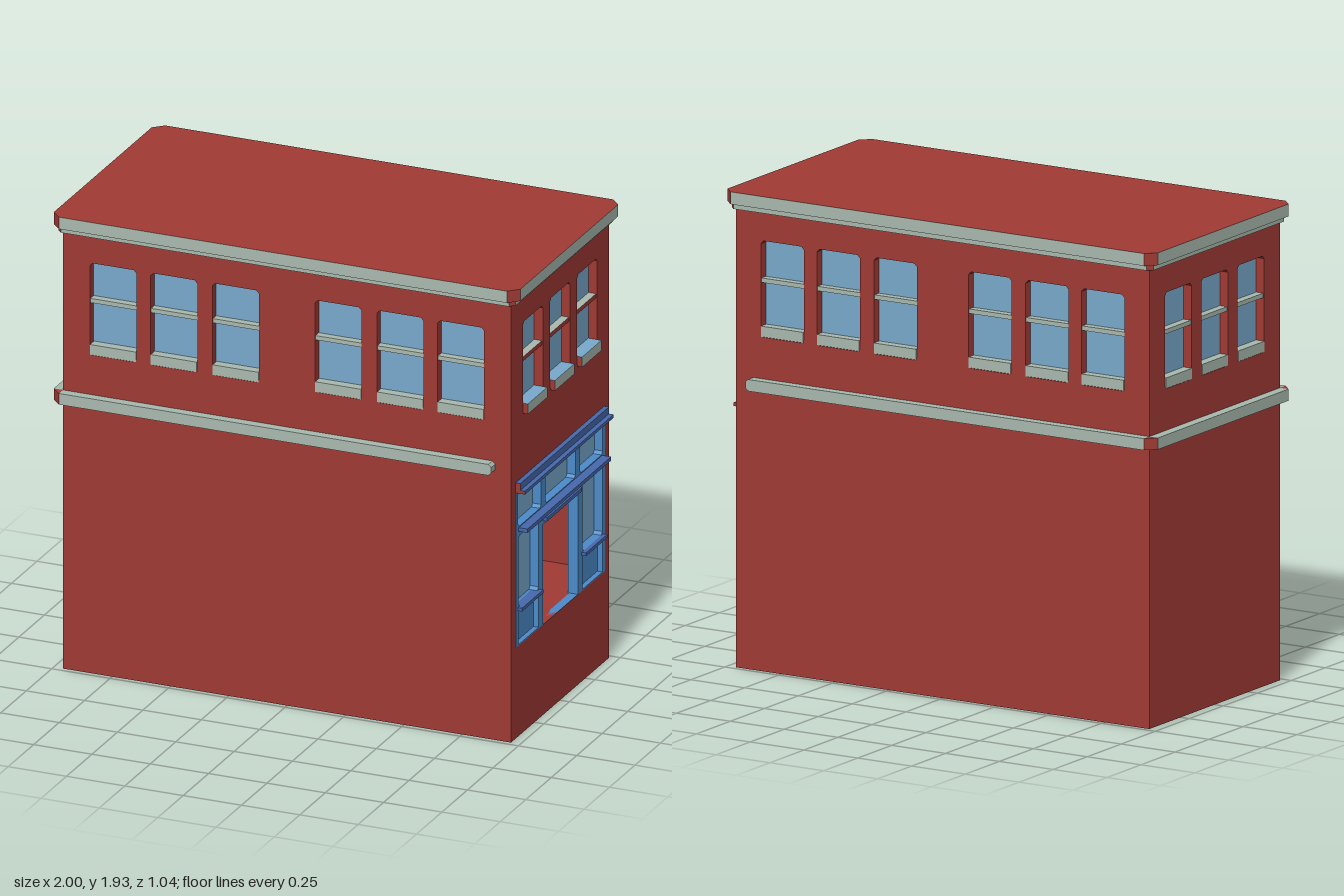
import * as THREE from 'three';

const mat = (name, color) => Object.assign(new THREE.MeshStandardMaterial({ color }), { name });

export function createModel() {
  const red = mat('brick red', 0xa03a34);
  const stone = mat('pale stone', 0xa9b9af);
  const glass = mat('window glass', 0x78a9cc);
  const blue = mat('shopfront blue', 0x4c8bc9);
  const trim = mat('trim blue', 0x4668ac);
  const model = new THREE.Group();
  model.name = 'cornerShop';

  // Box given by its minimum and maximum corners
  function box(parent, name, m, x0, x1, y0, y1, z0, z1) {
    const mesh = new THREE.Mesh(new THREE.BoxGeometry(x1 - x0, y1 - y0, z1 - z0), m);
    mesh.position.set((x0 + x1) / 2, (y0 + y1) / 2, (z0 + z1) / 2);
    mesh.name = name;
    parent.add(mesh);
    return mesh;
  }
  // Rectangle outline with cut corners
  function outline(target, [x0, x1, y0, y1], c = 0) {
    const pts = c
      ? [[x0 + c, y0], [x1 - c, y0], [x1, y0 + c], [x1, y1 - c], [x1 - c, y1], [x0 + c, y1], [x0, y1 - c], [x0, y0 + c]]
      : [[x0, y0], [x1, y0], [x1, y1], [x0, y1]];
    return target.setFromPoints(pts.map(([x, y]) => new THREE.Vector2(x, y)));
  }
  // Upright slab with openings, running from z0 towards +z
  function slab(parent, name, m, rect, holes, z0, depth, c = 0) {
    const shape = outline(new THREE.Shape(), rect, c);
    holes.forEach(([r, cut]) => shape.holes.push(outline(new THREE.Path(), r, cut)));
    const mesh = new THREE.Mesh(new THREE.ExtrudeGeometry(shape, { depth, bevelEnabled: false }), m);
    mesh.position.z = z0;
    mesh.name = name;
    parent.add(mesh);
  }
  // Triangular block that closes a mitred outside corner
  function corner(name, sx, sz, y0, y1, size) {
    const s = new THREE.Shape();
    const pts = [[0, 0], [sx * size, 0], [0, -sz * size]].map(([x, y]) => new THREE.Vector2(x, y));
    s.setFromPoints(pts);
    const mesh = new THREE.Mesh(new THREE.ExtrudeGeometry(s, { depth: y1 - y0, bevelEnabled: false }), red);
    mesh.rotation.x = -Math.PI / 2;
    mesh.position.set(sx * 0.96, y0, sz * 0.48);
    mesh.name = name;
    model.add(mesh);
  }

  // One wall with its recessed sash windows, built facing +z and then turned
  function wall(name, half, dist, turn, centres, w, shop) {
    const g = new THREE.Group();
    g.name = name;
    g.rotation.y = turn;
    model.add(g);
    const front = dist, back = dist - 0.04;
    const holes = centres.map(c => [[c - w / 2, c + w / 2, 1.35, 1.74], 0.012]);
    if (shop) holes.push([[-0.435, 0.435, 0.385, 1.085], 0]);
    slab(g, 'wall', red, [-half, half, 0, 1.86], holes, back, 0.04);
    for (const c of centres) {
      const a = c - w / 2, b = c + w / 2;
      box(g, 'windowGlass', glass, a, b, 1.35, 1.74, back - 0.005, back + 0.003);
      const barMats = [stone, stone, stone, stone, shop ? red : stone, stone];
      box(g, 'sashBar', barMats, a, b, 1.57, 1.588, back, front - 0.004);
      const sillMats = shop ? [red, red, glass, stone, stone, stone] : stone;
      box(g, 'windowSill', sillMats, a + 0.002, b - 0.002, 1.352, 1.395, back, front + (shop ? 0.02 : 0.003));
    }
    return g;
  }
  const long = [0.12, 0.385, 0.645].flatMap(x => [x + 0.1, -x - 0.1]);
  const short = [-0.266, 0, 0.266];
  wall('frontWall', 0.96, 0.48, 0, long, 0.2);
  wall('backWall', 0.96, 0.48, Math.PI, long, 0.2);
  wall('rearGable', 0.48, 0.96, -Math.PI / 2, short, 0.195);
  const shop = wall('shopWall', 0.48, 0.96, Math.PI / 2, short, 0.195, true);

  // Floor block and the solid upper storey above the hollow shop room
  box(model, 'shopFloor', red, -0.925, 0.925, 0, 0.385, -0.445, 0.445);
  box(model, 'upperStorey', red, -0.918, 0.918, 1.1, 1.86, -0.438, 0.438);
  box(model, 'roof', red, -0.96, 0.96, 1.85, 1.93, -0.48, 0.48);

  // Shopfront frame with door, panes and lower panels
  const panes = [[-0.415, -0.19, 0.89, 1.04], [-0.148, 0.148, 0.89, 1.04], [0.19, 0.415, 0.89, 1.04],
    [-0.412, -0.215, 0.55, 0.85], [0.215, 0.412, 0.55, 0.85]];
  const panels = [[-0.412, -0.215, 0.39, 0.535], [0.215, 0.412, 0.39, 0.535]];
  const door = [-0.172, 0.172, 0.385, 0.81];
  slab(shop, 'shopFrame', blue, [-0.435, 0.435, 0.385, 1.085],
    [...panes.map(p => [p, 0.012]), ...panels.map(p => [p, 0]), [door, 0]], 0.92, 0.042);
  panes.forEach(([a, b, c, d]) => box(shop, 'shopPane', glass, a, b, c, d, 0.918, 0.926));
  panels.forEach(([a, b, c, d]) => box(shop, 'lowerPanel', blue, a, b, c, d, 0.92, 0.94));
  const ends = [red, red, trim, trim, trim, trim];
  box(shop, 'shopCornice', ends, -0.435, 0.435, 1.055, 1.085, 0.95, 0.98);
  box(shop, 'shopCorniceLip', ends, -0.435, 0.435, 1.042, 1.056, 0.95, 1.0);
  box(shop, 'transomLedge', trim, -0.41, 0.41, 0.87, 0.886, 0.95, 1.0);
  box(shop, 'doorLintel', trim, -0.172, 0.172, 0.826, 0.842, 0.95, 0.98);
  for (const s of [-1, 1]) {
    const c = s * 0.3135;
    box(shop, 'paneSill', trim, c - 0.105, c + 0.105, 0.536, 0.55, 0.93, 0.98);
  }

  // Stepped cornice around the roof
  for (const [name, y0, y1, out] of [['corniceLower', 1.857, 1.88, 0.02], ['corniceUpper', 1.88, 1.93, 0.04]]) {
    const m = [stone, stone, red, stone, stone, stone];
    for (const s of [-1, 1]) {
      const z = [s * 0.48, s * (0.48 + out)].sort((a, b) => a - b);
      const x = [s * 0.96, s * (0.96 + out)].sort((a, b) => a - b);
      box(model, name, m, -0.96, 0.96, y0, y1, ...z);
      box(model, name, m, ...x, y0, y1, -0.48, 0.48);
      corner(name + 'Corner', s, 1, y0, y1, out);
      corner(name + 'Corner', s, -1, y0, y1, out);
    }
  }

  // String course round three sides, with cut ends near the shop wall
  for (const s of [-1, 1]) {
    const sh = new THREE.Shape();
    sh.setFromPoints([[-0.96, 1.135], [0.88, 1.135], [0.892, 1.147], [0.892, 1.17], [0.88, 1.182], [-0.96, 1.182]]
      .map(([x, y]) => new THREE.Vector2(x, y)));
    const band = new THREE.Mesh(new THREE.ExtrudeGeometry(sh, { depth: 0.04, bevelEnabled: false }), stone);
    band.position.z = s > 0 ? 0.48 : -0.52;
    band.name = 'stringCourse';
    model.add(band);
    corner('stringCourseCorner', -1, s, 1.135, 1.182, 0.04);
  }
  box(model, 'stringCourseRear', stone, -1, -0.96, 1.135, 1.182, -0.48, 0.48);
  return model;
}
